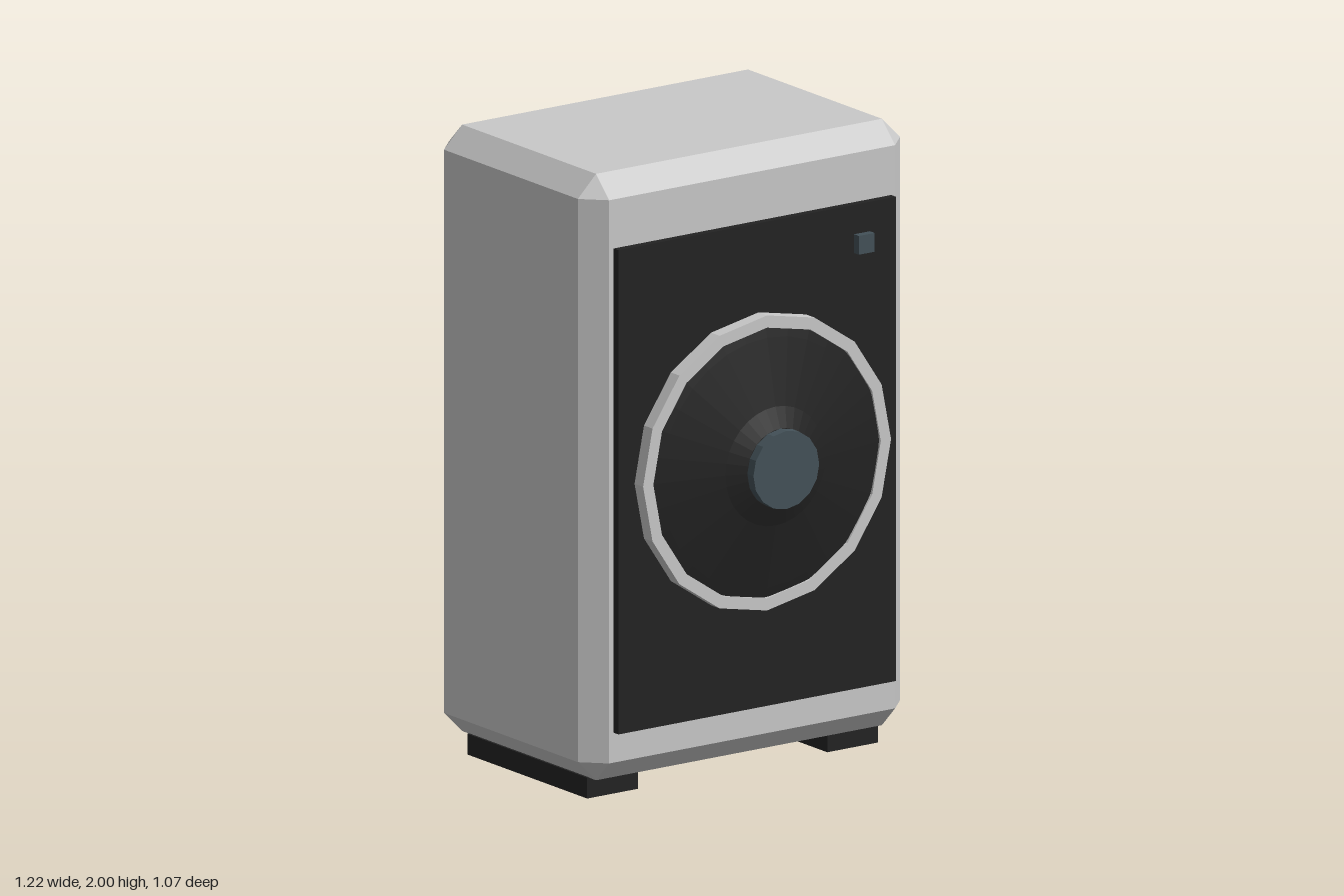
import * as THREE from 'three';
import { ConvexGeometry } from 'three/addons/geometries/ConvexGeometry.js';

const mat = (name, color, flatShading = false) => {
  const m = new THREE.MeshStandardMaterial({ color, flatShading });
  m.name = name;
  return m;
};

// Box with every edge cut at 45 degrees
function chamferBox(w, h, d, c) {
  const pts = [];
  for (const x of [-1, 1]) for (const y of [-1, 1]) for (const z of [-1, 1]) {
    for (let full = 0; full < 3; full++) {
      const [a, b, e] = [w, h, d].map((s, i) => s / 2 - (i === full ? 0 : c));
      pts.push(new THREE.Vector3(x * a, y * b, z * e));
    }
  }
  return new ConvexGeometry(pts);
}

export function createModel() {
  const root = new THREE.Group();
  root.name = 'loudspeaker';
  const grey = mat('light grey', 0xc8c8c8, true);
  const black = mat('black', 0x222222, true);
  const slate = mat('slate blue', 0x435158, true);

  const add = (name, geo, material, x, y, z) => {
    const m = new THREE.Mesh(geo, material);
    m.name = name;
    m.position.set(x, y, z);
    root.add(m);
    return m;
  };
  // Box given by its limits on each axis
  const slab = (name, material, [x0, x1], [y0, y1], [z0, z1]) =>
    add(name, new THREE.BoxGeometry(x1 - x0, y1 - y0, z1 - z0), material,
      (x0 + x1) / 2, (y0 + y1) / 2, (z0 + z1) / 2);
  // Turned profile of [radius, z] points, facing the front
  const turned = (name, material, profile, sides, x, y) => {
    const pts = profile.map(([r, z]) => new THREE.Vector2(r, z));
    const geo = new THREE.LatheGeometry(pts, sides).rotateX(Math.PI / 2);
    return add(name, geo, material, x, y, 0);
  };

  // Cabinet and feet
  add('cabinet', chamferBox(1.224, 1.936, 0.841, 0.069), grey, 0, 1.032, -0.065);
  slab('rightFoot', black, [-0.553, -0.361], [0, 0.066], [-0.375, 0.254]);
  slab('leftFoot', black, [0.359, 0.551], [0, 0.066], [-0.375, 0.254]);

  // Front baffle with indicator
  slab('frontPanel', black, [-0.529, 0.525], [0.23, 1.776], [0.36, 0.385]);
  slab('indicator', slate, [0.366, 0.426], [1.622, 1.682], [0.385, 0.41]);

  // Driver: ring, cone and dust cap
  const cy = 1.022;
  turned('driverRing', grey,
    [[0.432, 0.389], [0.471, 0.389], [0.471, 0.434], [0.432, 0.434], [0.432, 0.389]], 16, 0, cy);
  turned('driverCone', black,
    [[0, 0.387], [0.43, 0.387], [0.43, 0.427], [0.4, 0.434], [0.19, 0.478], [0.125, 0.503], [0, 0.503]], 32, 0, cy);
  turned('dustCap', slate,
    [[0, 0.5], [0.125, 0.5], [0.125, 0.535], [0, 0.535]], 16, 0, cy);

  // Terminal plate with four posts on the back
  slab('terminalPlate', black, [-0.332, 0.331], [0.41, 1.196], [-0.516, -0.488]);
  for (const x of [-0.159, 0.157]) for (const y of [0.74, 1.005]) {
    turned('terminalPost', grey,
      [[0, -0.539], [0.041, -0.539], [0.041, -0.514], [0, -0.514]], 10, x, y);
  }
  return root;
}
